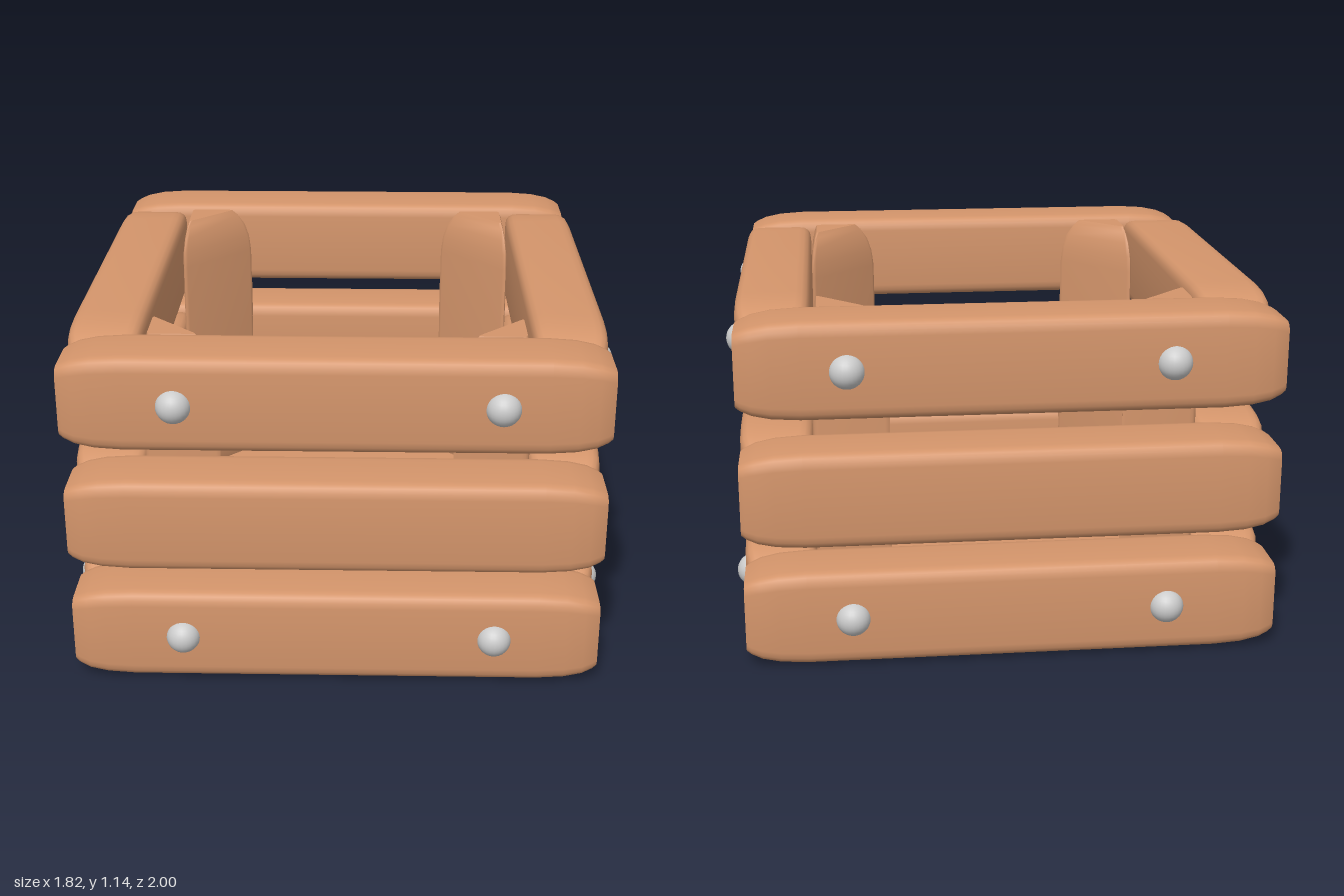
import * as THREE from 'three';
import { toCreasedNormals } from 'three/addons/utils/BufferGeometryUtils.js';

const wood = new THREE.MeshStandardMaterial({ color: 0xd4956b });
const metal = new THREE.MeshStandardMaterial({ color: 0xcccccc });

// Rounds the corners of a counter-clockwise polygon
function roundedProfile(corners, r, steps = 4) {
  const pts = [], n = corners.length;
  corners.forEach((c, i) => {
    const p = new THREE.Vector2(...c);
    const a = new THREE.Vector2(...corners[(i + n - 1) % n]).sub(p).setLength(r).add(p);
    const b = new THREE.Vector2(...corners[(i + 1) % n]).sub(p).setLength(r).add(p);
    pts.push(...new THREE.QuadraticBezierCurve(a, p, b).getPoints(steps));
  });
  return pts;
}

// Lofts a profile along +z through stations [z, scaleX, scaleY], closing both ends
function loft(profile, stations) {
  const pos = [], idx = [], n = profile.length;
  for (const [z, sx, sy] of stations) for (const p of profile) pos.push(p.x * sx, p.y * sy, z);
  const last = stations.length - 1;
  for (let s = 0; s < last; s++) {
    for (let i = 0; i < n; i++) {
      const j = (i + 1) % n, a = s * n + i, b = s * n + j;
      idx.push(a, b, b + n, a, b + n, a + n);
    }
  }
  const c0 = pos.length / 3, c1 = c0 + 1;
  pos.push(0, 0, stations[0][0], 0, 0, stations[last][0]);
  for (let i = 0; i < n; i++) {
    const j = (i + 1) % n;
    idx.push(c0, j, i, c1, last * n + i, last * n + j);
  }
  const g = new THREE.BufferGeometry();
  g.setAttribute('position', new THREE.Float32BufferAttribute(pos, 3));
  g.setIndex(idx);
  return toCreasedNormals(g, 0.7);
}

// Plank along z, with softened edges and ends that taper
function plankGeometry(length, width, height) {
  const w = width / 2, h = height / 2, l = length / 2;
  const profile = roundedProfile([[-w, -h], [w, -h], [w, h], [-w, h]], 0.045);
  const end = [[0, 0.8, 0.74], [0.015, 0.87, 0.8], [0.05, 0.95, 0.89], [0.11, 0.985, 0.965], [0.2, 1, 1]];
  return loft(profile, [
    ...end.map(([d, x, y]) => [d - l, x, y]),
    ...end.slice().reverse().map(([d, x, y]) => [l - d, x, y]),
  ]);
}

// Three-sided corner post along z with domed ends
function postGeometry(height) {
  const profile = roundedProfile([[0.06, 0.06], [-0.2, 0.06], [0.06, -0.2]], 0.025);
  const end = [[0, 0.62], [0.02, 0.73], [0.06, 0.87], [0.11, 0.96], [0.17, 1]];
  return loft(profile, [
    ...end.map(([d, s]) => [d, s, s]),
    ...end.slice().reverse().map(([d, s]) => [height - d, s, s]),
  ]);
}

export function createModel() {
  const crate = new THREE.Group();
  crate.name = 'crate';
  const add = (name, geometry, material, x, y, z, turn = 0) => {
    const m = new THREE.Mesh(geometry, material);
    m.name = name;
    m.position.set(x, y, z);
    m.rotation.y = turn;
    crate.add(m);
    return m;
  };

  // Three rows of planks on each side
  const longPlank = plankGeometry(1.73, 0.25, 0.315);
  const sidePlank = plankGeometry(1.44, 0.245, 0.315);
  for (const y of [0.163, 0.562, 0.986]) {
    add('frontPlank', longPlank, wood, 0, y, 0.83, Math.PI / 2);
    add('backPlank', longPlank, wood, 0, y, -0.83, Math.PI / 2);
    add('leftPlank', sidePlank, wood, 0.752, y, 0);
    add('rightPlank', sidePlank, wood, -0.752, y, 0);
  }

  // Corner posts, each turned so its right angle sits in the corner
  const post = postGeometry(1.13);
  const corners = [[1, 1, -Math.PI / 2], [-1, 1, Math.PI], [-1, -1, Math.PI / 2], [1, -1, 0]];
  for (const [sx, sz, turn] of corners) {
    const m = add('cornerPost', post, wood, sx * 0.572, 0, sz * 0.655);
    m.rotation.set(-Math.PI / 2, turn, 0, 'YXZ');
  }

  // Floor panel
  add('floor', new THREE.BoxGeometry(1.29, 0.03, 1.45), wood, 0, 0.065, 0);

  // Round-headed bolts on the top and bottom rows
  const bolt = new THREE.SphereGeometry(0.056, 24, 16);
  for (const y of [0.163, 0.988]) {
    for (const s of [1, -1]) {
      for (const x of [-0.5, 0.52]) add('bolt', bolt, metal, x, y, s * 0.944);
      for (const z of [-0.51, 0.51]) add('bolt', bolt, metal, s * 0.852, y, z);
    }
  }
  return crate;
}
